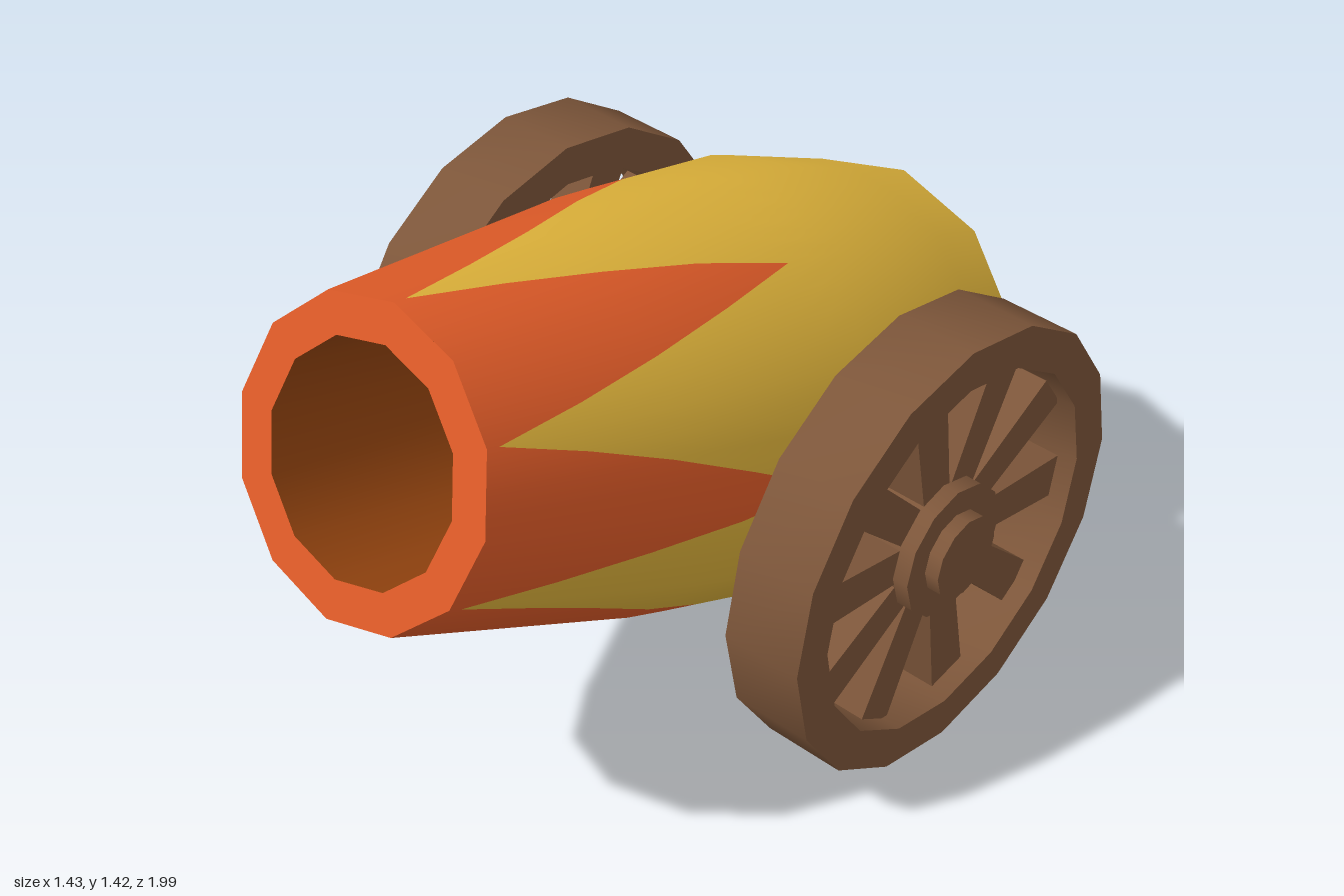
import * as THREE from 'three';
import { toCreasedNormals } from 'three/addons/utils/BufferGeometryUtils.js';

const mat = (name, color, side = THREE.FrontSide) => {
  const m = new THREE.MeshStandardMaterial({ color, side });
  m.name = name;
  return m;
};

const SIDES = 12, LENGTH = 1.704, BORE = 0.263;
// barrel radius by distance behind the muzzle
const RINGS = [[0, 0.355], [0.73, 0.469], [1.285, 0.512], [LENGTH, 0.464]];

function radiusAt(s) {
  for (let i = 1; i < RINGS.length; i++) {
    const [s0, r0] = RINGS[i - 1], [s1, r1] = RINGS[i];
    if (s <= s1 + 1e-6) return r0 + (r1 - r0) * (s - s0) / (s1 - s0);
  }
  return RINGS[RINGS.length - 1][1];
}

// zigzag edge between the two paints: u = 0 at a notch, 1 at a spike tip
const zigzag = u => 0.03 + 0.92 * u;

// twelve-sided barrel skin between two edges, each a function of u
function barrelSkin(from, to, rows) {
  const pos = [], nor = [], idx = [], cols = 4, step = Math.PI * 2 / SIDES;
  for (let f = 0; f < SIDES; f++) {
    const base = pos.length / 3, a0 = f * step, a1 = a0 + step;
    for (let c = 0; c <= cols; c++) {
      const t = c / cols, u = f % 2 ? 1 - t : t, a = a0 + t * step;
      const x = Math.sin(a0) * (1 - t) + Math.sin(a1) * t;
      const z = Math.cos(a0) * (1 - t) + Math.cos(a1) * t;
      for (let k = 0; k <= rows; k++) {
        const s = from(u) + (to(u) - from(u)) * k / rows, r = radiusAt(s);
        const lo = Math.max(s - 0.25, 0), hi = Math.min(s + 0.25, LENGTH);
        const slope = (radiusAt(hi) - radiusAt(lo)) / (hi - lo);
        const n = new THREE.Vector3(Math.sin(a), slope, Math.cos(a)).normalize();
        pos.push(x * r, -s, z * r);
        nor.push(n.x, n.y, n.z);
        if (c < cols && k < rows) {
          const p = base + c * (rows + 1) + k, q = p + rows + 1;
          idx.push(p, p + 1, q, q, p + 1, q + 1);
        }
      }
    }
  }
  const g = new THREE.BufferGeometry();
  g.setAttribute('position', new THREE.Float32BufferAttribute(pos, 3));
  g.setAttribute('normal', new THREE.Float32BufferAttribute(nor, 3));
  g.setIndex(idx);
  return g;
}

const lathe = (points, sides) =>
  new THREE.LatheGeometry(points.map(p => new THREE.Vector2(...p)), sides);

export function createModel() {
  const model = new THREE.Group();
  const yellow = mat('yellow paint', 0xe0b43b);
  const orange = mat('orange paint', 0xe05b28);
  const brown = mat('brown wood', 0x7d563a);
  const dark = mat('bore brown', 0x984610);

  const add = (parent, name, geometry, material) => {
    const mesh = new THREE.Mesh(geometry, material);
    mesh.name = name;
    parent.add(mesh);
    return mesh;
  };

  // barrel, tilted up by 20 degrees, origin at the muzzle
  const barrel = new THREE.Group();
  barrel.name = 'barrel';
  barrel.position.set(0, 1.09, 0.878);
  barrel.rotation.x = THREE.MathUtils.degToRad(70);
  model.add(barrel);
  add(barrel, 'muzzleSpikes', barrelSkin(() => 0, zigzag, 8), orange);
  add(barrel, 'barrelBody', barrelSkin(zigzag, () => LENGTH, 16), yellow);
  add(barrel, 'muzzleRim', lathe([[0.355, 0], [BORE, 0]], SIDES), orange);
  add(barrel, 'bore',
    toCreasedNormals(lathe([[BORE, 0], [BORE, -1.45], [0, -1.45]], SIDES), 0.6), dark);
  add(barrel, 'rearCap',
    lathe([[0, -1.952], [0.18, -1.928], [0.36, -1.844], [0.464, -LENGTH]], SIDES), brown);

  // axle through both wheels
  const axleY = 0.55, axleZ = -0.235;
  const axle = add(model, 'axle',
    toCreasedNormals(new THREE.CylinderGeometry(0.102, 0.102, 1.43, SIDES), 0.6), brown);
  axle.rotation.z = Math.PI / 2;
  axle.position.set(0, axleY, axleZ);

  // wheels
  const rimGeo = toCreasedNormals(
    lathe([[0.45, -0.1], [0.55, -0.1], [0.55, 0.1], [0.45, 0.1], [0.45, -0.1]], 16), 0.6);
  const hubGeo = toCreasedNormals(new THREE.CylinderGeometry(0.165, 0.165, 0.215, SIDES), 0.6);
  rimGeo.rotateZ(Math.PI / 2);
  hubGeo.rotateZ(Math.PI / 2);
  const spokeGeo = new THREE.BoxGeometry(0.1, 0.34, 0.1);
  spokeGeo.translate(0, 0.295, 0);
  // spokes widen a little towards the rim
  const p = spokeGeo.attributes.position;
  for (let i = 0; i < p.count; i++) p.setZ(i, p.getZ(i) * (p.getY(i) > 0.3 ? 1.1 : 0.88));

  for (const side of [-1, 1]) {
    const wheel = new THREE.Group();
    wheel.name = side > 0 ? 'leftWheel' : 'rightWheel';
    wheel.position.set(side * 0.59, axleY, axleZ);
    model.add(wheel);
    add(wheel, 'wheelRim', rimGeo, brown);
    add(wheel, 'hub', hubGeo, brown).position.x = -side * 0.018;
    for (let i = 0; i < 10; i++) {
      const spoke = add(wheel, 'spoke', spokeGeo, brown);
      spoke.rotation.x = THREE.MathUtils.degToRad(9 + i * 36);
    }
  }
  return model;
}
